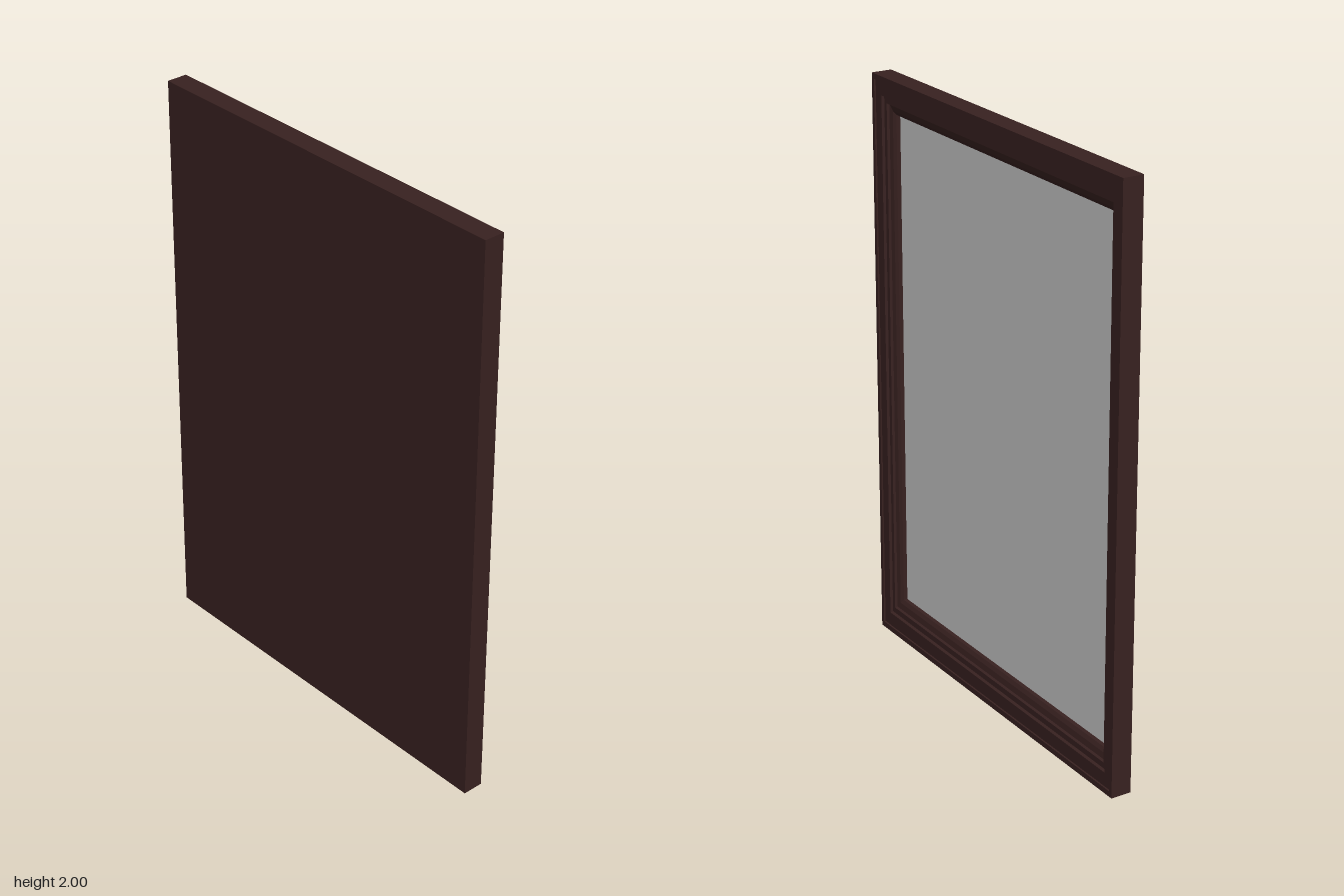
import * as THREE from 'three';

const HALF_X = 0.036, HALF_Z = 0.714, HEIGHT = 2;
const SIDE = 0.094, RAIL = 0.126; // visible frame widths: sides, top and bottom

// Moulding section: [fraction of the frame width, depth below the front face]
const PROFILE = [
  [0, 0.054], [0, 0], [0.15, 0], [0.15, 0.006], [0.53, 0.006], [0.56, 0.015],
  [0.72, 0.015], [0.74, 0.024], [0.9, 0.028], [1, 0.036], [1, 0.054],
];

// Four corners of the frame at one profile point, counter-clockwise from +x
function ring([t, depth]) {
  const x = HALF_X - depth, z = HALF_Z - t * SIDE;
  const low = t * RAIL, high = HEIGHT - t * RAIL;
  return [[x, low, z], [x, low, -z], [x, high, -z], [x, high, z]];
}

// Mitred moulding swept round the rectangle
function mouldingGeometry() {
  const points = [];
  for (let i = 0; i < PROFILE.length - 1; i++) {
    const outer = ring(PROFILE[i]), inner = ring(PROFILE[i + 1]);
    for (let k = 0; k < 4; k++) {
      const n = (k + 1) % 4;
      points.push(...outer[k], ...outer[n], ...inner[n], ...outer[k], ...inner[n], ...inner[k]);
    }
  }
  const geometry = new THREE.BufferGeometry();
  geometry.setAttribute('position', new THREE.Float32BufferAttribute(points, 3));
  geometry.computeVertexNormals();
  return geometry;
}

export function createModel() {
  const group = new THREE.Group();
  group.name = 'framedPanel';
  const wood = new THREE.MeshStandardMaterial({ color: 0x382120 });
  const grey = new THREE.MeshStandardMaterial({ color: 0xcccccc });

  const add = (name, geometry, material, x = 0, y = 0) => {
    const mesh = new THREE.Mesh(geometry, material);
    mesh.name = name;
    mesh.position.set(x, y, 0);
    group.add(mesh);
  };

  add('frameMoulding', mouldingGeometry(), wood);

  // Solid board closing the back
  add('backBoard', new THREE.BoxGeometry(0.018, HEIGHT, HALF_Z * 2), wood, -HALF_X + 0.009, HEIGHT / 2);

  // Recessed pane resting on the board
  add('pane', new THREE.BoxGeometry(0.004, HEIGHT - RAIL * 2, (HALF_Z - SIDE) * 2), grey, -HALF_X + 0.02, HEIGHT / 2);

  return group;
}
